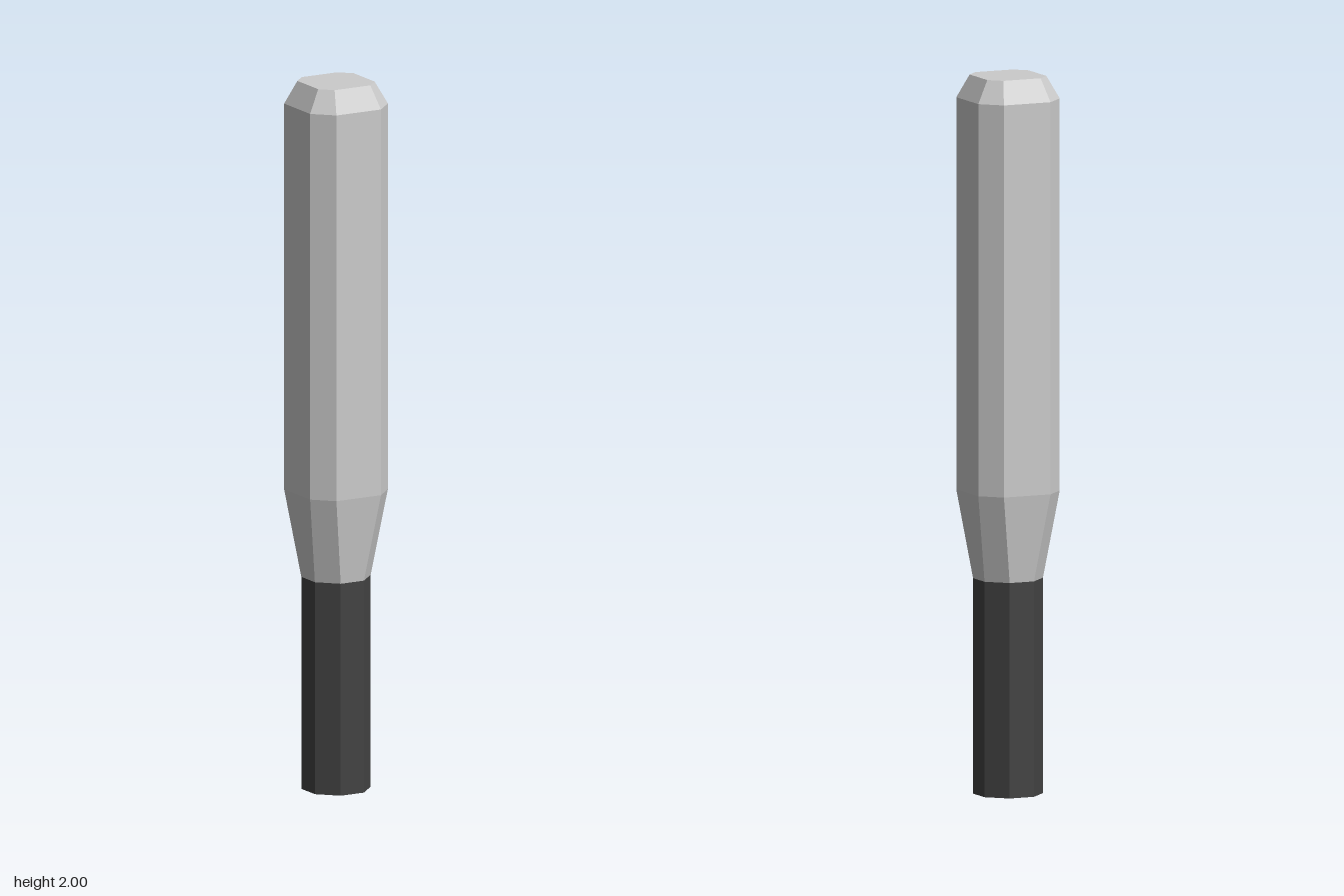
import * as THREE from 'three';

// Eight corners of a square with cut corners: half = half width, flat = half length of a side
function octagon([y, half, flat]) {
  return [[half, flat], [flat, half], [-flat, half], [-half, flat],
    [-half, -flat], [-flat, -half], [flat, -half], [half, -flat]].map(([x, z]) => [x, y, z]);
}

// Closed solid through octagonal sections, listed from bottom to top
function loft(name, sections, color) {
  const rings = sections.map(octagon);
  const last = rings.length - 1;
  const bottom = [0, sections[0][0], 0];
  const top = [0, sections[last][0], 0];
  const points = [];
  for (let i = 0; i < 8; i++) {
    const k = (i + 1) % 8;
    for (let j = 0; j < last; j++) {
      const a = rings[j][i], b = rings[j][k], c = rings[j + 1][i], d = rings[j + 1][k];
      points.push(a, c, b, b, c, d);
    }
    points.push(bottom, rings[0][i], rings[0][k]);
    points.push(top, rings[last][k], rings[last][i]);
  }
  const geometry = new THREE.BufferGeometry();
  geometry.setAttribute('position', new THREE.Float32BufferAttribute(points.flat(), 3));
  geometry.computeVertexNormals();
  const mesh = new THREE.Mesh(geometry, new THREE.MeshStandardMaterial({ color, flatShading: true }));
  mesh.name = name;
  return mesh;
}

export function createModel() {
  const group = new THREE.Group();
  group.name = 'baton';
  // Dark straight grip
  group.add(loft('grip', [[0, 0.089, 0.037], [0.6, 0.089, 0.037]], 0x434343));
  // Pale shaft: flared neck, long straight body, bevelled tip
  group.add(loft('shaft', [
    [0.6, 0.089, 0.037],
    [0.845, 0.124, 0.071],
    [1.937, 0.124, 0.071],
    [2, 0.09, 0.057],
  ], 0xcccccc));
  return group;
}
